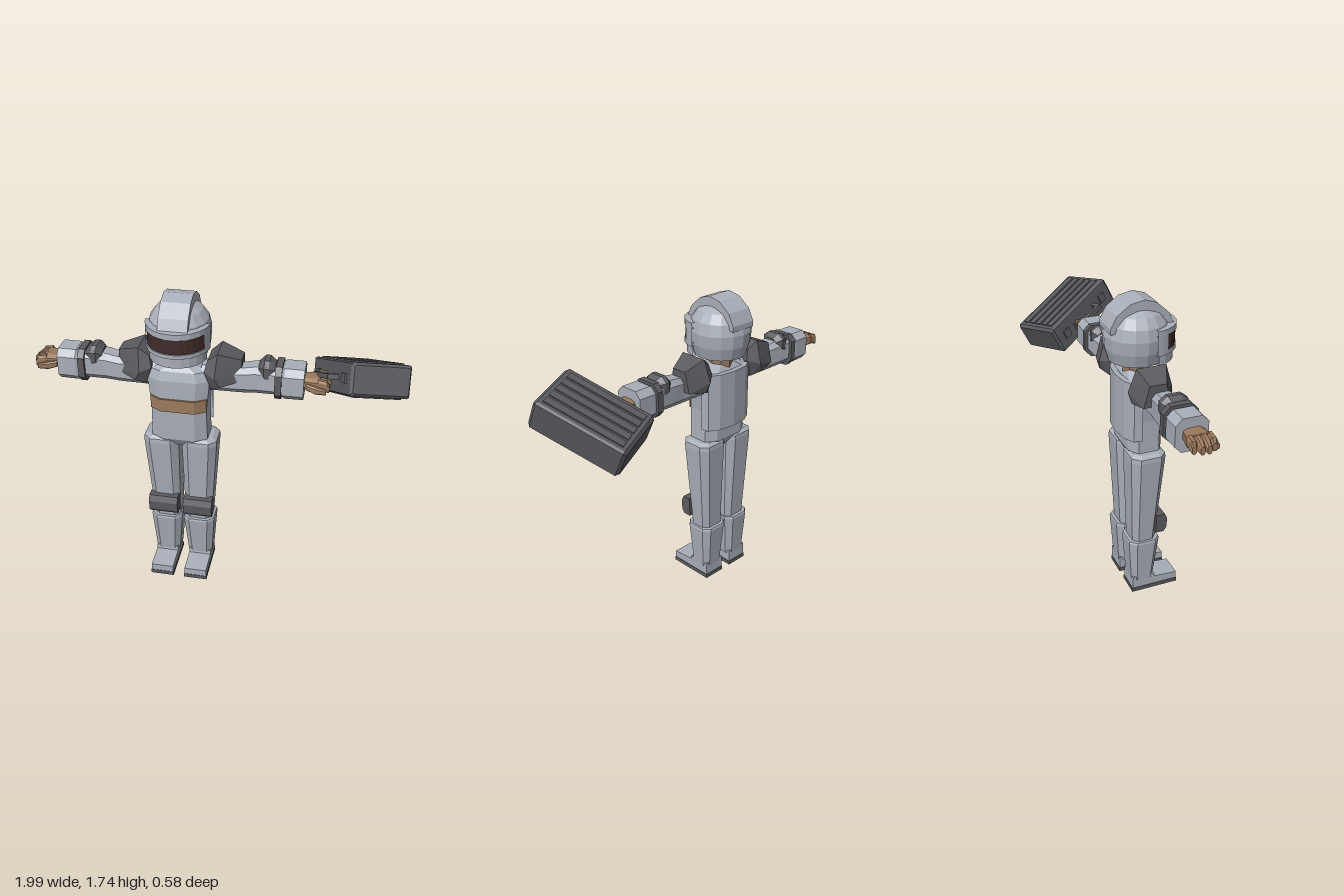
import * as THREE from 'three';
import { ConvexGeometry } from 'three/addons/geometries/ConvexGeometry.js';

const paint = (name, hex) => {
  const m = new THREE.MeshStandardMaterial({ color: hex, flatShading: true, side: THREE.DoubleSide });
  m.name = name;
  return m;
};

// Chamfered eight-sided loft along y; sections are [y, cx, cz, rx, rz], bottom to top
function loft(sections, k = 0.6) {
  const rings = sections.map(([y, cx, cz, a, b]) =>
    [[-a * k, b], [a * k, b], [a, b * k], [a, -b * k], [a * k, -b], [-a * k, -b], [-a, -b * k], [-a, b * k]]
      .map(([x, z]) => [cx + x, y, cz + z]));
  const pos = [];
  const tri = (...p) => p.forEach(v => pos.push(...v));
  for (let r = 0; r < rings.length - 1; r++) {
    for (let i = 0; i < 8; i++) {
      const j = (i + 1) % 8, lo = rings[r], hi = rings[r + 1];
      tri(lo[i], lo[j], hi[j]);
      tri(lo[i], hi[j], hi[i]);
    }
  }
  const lo = rings[0], hi = rings[rings.length - 1];
  for (let i = 1; i < 7; i++) {
    tri(lo[0], lo[i + 1], lo[i]);
    tri(hi[0], hi[i], hi[i + 1]);
  }
  const g = new THREE.BufferGeometry();
  g.setAttribute('position', new THREE.Float32BufferAttribute(pos, 3));
  g.computeVertexNormals();
  return g;
}

// Loft along x; sections are [x, yMin, yMax, zMin, zMax]
const limb = (sections, k) => loft(sections.map(([x, y0, y1, z0, z1]) =>
  [x, -(y0 + y1) / 2, (z0 + z1) / 2, (y1 - y0) / 2, (z1 - z0) / 2]), k).rotateZ(-Math.PI / 2);

const extrude = (pts, depth) => new THREE.ExtrudeGeometry(
  new THREE.Shape(pts.map(p => new THREE.Vector2(...p))), { depth, bevelEnabled: false });

// Side profile [z, y] given a width around x = cx
const profile = (pts, width, cx) => extrude(pts, width).rotateY(-Math.PI / 2).translate(cx + width / 2, 0, 0);

// Plan outline [x, z] raised from y0 to y1
const plan = (pts, y0, y1) => extrude(pts.map(([x, z]) => [x, -z]), y1 - y0)
  .rotateX(-Math.PI / 2).translate(0, y0, 0);

// Mirror across x and restore the corner order
function mirror(geo) {
  const g = geo.index ? geo.toNonIndexed() : geo.clone();
  g.scale(-1, 1, 1);
  const p = g.attributes.position;
  for (let i = 0; i < p.count; i += 3) {
    const a = new THREE.Vector3().fromBufferAttribute(p, i + 1);
    const b = new THREE.Vector3().fromBufferAttribute(p, i + 2);
    p.setXYZ(i + 1, b.x, b.y, b.z);
    p.setXYZ(i + 2, a.x, a.y, a.z);
  }
  g.computeVertexNormals();
  return g;
}

export function createModel() {
  const armour = paint('paleArmour', 0xa9afb9);
  const dark = paint('darkPadding', 0x5b5a5f);
  const tan = paint('tan', 0x9c7a5c);
  const glass = paint('visorBrown', 0x402c2a);

  const model = new THREE.Group();
  model.name = 'armouredFigure';
  const body = new THREE.Group();
  body.name = 'body';
  body.position.x = -0.195;
  model.add(body);

  const add = (name, geo, mat, parent = body) => {
    const m = new THREE.Mesh(geo, mat);
    m.name = name;
    parent.add(m);
    return m;
  };
  const pair = (name, geo, mat) => {
    add('left' + name, geo, mat);
    add('right' + name, mirror(geo), mat);
  };

  // Torso, chest band and back plate
  add('torso', loft([
    [0.86, 0, 0.07, 0.03, 0.06], [0.92, 0, 0.073, 0.155, 0.096], [1.1, 0, 0.075, 0.15, 0.095],
    [1.28, 0, 0.068, 0.168, 0.095], [1.33, 0, 0.062, 0.155, 0.085], [1.362, 0, 0.06, 0.075, 0.06],
  ]), armour);
  add('chestBand', plan([[-0.152, 0.134], [-0.092, 0.168], [0.092, 0.168], [0.152, 0.134],
    [0.152, 0.142], [0.093, 0.178], [-0.093, 0.178], [-0.152, 0.142]], 1.1, 1.175), tan);
  add('backPlate', plan([[-0.168, 0.03], [-0.16, -0.015], [-0.1, -0.048], [0, -0.06], [0.1, -0.048], [0.16, -0.015],
    [0.168, 0.03], [0.145, 0.02], [0.09, -0.02], [0, -0.03], [-0.09, -0.02], [-0.145, 0.02]], 1.0, 1.33), armour);
  add('neck', new THREE.CylinderGeometry(0.068, 0.068, 0.11, 8).translate(0, 1.385, 0.05), tan);

  // Helmet shell and crest
  const shell = [[0, 1.41], [0.142, 1.41], [0.163, 1.48], [0.169, 1.55], [0.155, 1.612], [0.122, 1.66], [0.07, 1.692], [0, 1.705]];
  add('helmet', new THREE.LatheGeometry(shell.map(p => new THREE.Vector2(...p)), 16)
    .scale(1, 1, 1.03).translate(0, 0, 0.055), armour);
  add('helmetCrest', profile([[0.228, 1.6], [0.2, 1.658], [0.135, 1.718], [0.065, 1.74], [-0.01, 1.725], [-0.08, 1.674],
    [-0.113, 1.61], [-0.113, 1.58], [-0.05, 1.59], [0.05, 1.65], [0.15, 1.59]], 0.155, 0), armour);

  // Visor with its wrap-around frame
  const band = (name, r0, r1, y0, y1, from, to, mat) => add(name, new THREE.LatheGeometry(
    [[r1, y0], [r1, y1], [r0, y1], [r0, y0], [r1, y0]].map(p => new THREE.Vector2(...p)),
    10, from, to - from).scale(1, 1, 1.03).translate(0, 0, 0.09), mat);
  band('visorFrameTop', 0.12, 0.169, 1.572, 1.603, -1.5, 1.5, armour);
  band('visor', 0.12, 0.163, 1.488, 1.574, -1.15, 1.15, glass);
  band('visorFrameBottom', 0.12, 0.169, 1.468, 1.49, -1.5, 1.5, armour);
  band('chinGuard', 0.1, 0.155, 1.41, 1.47, -1.4, 1.4, armour);
  band('visorFrameLeft', 0.13, 0.169, 1.468, 1.603, 1.1, 1.5, armour);
  band('visorFrameRight', 0.13, 0.169, 1.468, 1.603, -1.5, -1.1, armour);

  // Legs
  pair('Thigh', loft([[0.33, 0.092, 0.06, 0.076, 0.066], [0.88, 0.107, 0.068, 0.098, 0.098],
    [0.905, 0.107, 0.068, 0.096, 0.096], [0.92, 0.105, 0.068, 0.075, 0.075]]), armour);
  pair('Shin', loft([[0.08, 0.098, 0.056, 0.071, 0.066], [0.34, 0.096, 0.06, 0.091, 0.09],
    [0.352, 0.096, 0.06, 0.087, 0.086]]), armour);
  pair('KneePad', profile([[0.115, 0.4], [0.163, 0.4], [0.18, 0.425], [0.183, 0.48], [0.168, 0.515], [0.12, 0.515]],
    0.167, 0.1), dark);
  pair('Boot', profile([[-0.01, 0.022], [0.263, 0.022], [0.263, 0.066], [0.125, 0.075], [0.12, 0.1], [-0.008, 0.1]],
    0.13, 0.1), armour);
  pair('Sole', new THREE.BoxGeometry(0.136, 0.024, 0.278).translate(0.1, 0.012, 0.126), dark);

  // Arms with pads, ring and cuff
  pair('Arm', limb([[0.12, 1.215, 1.36, 0, 0.12], [0.33, 1.215, 1.36, 0, 0.115],
    [0.4, 1.22, 1.372, -0.01, 0.115], [0.53, 1.226, 1.386, -0.022, 0.13]]), armour);
  pair('ArmRing', limb([[0.51, 1.207, 1.395, -0.037, 0.145], [0.545, 1.207, 1.395, -0.037, 0.145]]), dark);
  pair('Cuff', limb([[0.545, 1.218, 1.378, -0.022, 0.132], [0.56, 1.21, 1.388, -0.03, 0.14],
    [0.66, 1.212, 1.388, -0.03, 0.14]]), armour);
  pair('ElbowPad', limb([[0.42, 1.32, 1.385, 0.005, 0.1], [0.45, 1.305, 1.412, -0.02, 0.125],
    [0.475, 1.292, 1.412, -0.02, 0.125], [0.507, 1.325, 1.39, 0, 0.11]], 0.5), dark);
  const pad = [];
  for (const [x, y, z0, z1] of [[0.33, 1.4, -0.01, 0.08], [0.33, 1.285, -0.04, 0.105], [0.21, 1.445, -0.03, 0.13],
    [0.2, 1.32, -0.07, 0.17], [0.225, 1.268, -0.06, 0.16], [0.14, 1.34, -0.02, 0.14], [0.155, 1.4, -0.01, 0.12],
    [0.175, 1.24, -0.02, 0.13]]) {
    pad.push(new THREE.Vector3(x, y, z0), new THREE.Vector3(x, y, z1));
  }
  pair('ShoulderPad', new ConvexGeometry(pad), dark);

  // Hands: palm, four fingers and thumb
  pair('Palm', limb([[0.65, 1.275, 1.335, 0.01, 0.11], [0.74, 1.272, 1.342, -0.008, 0.122]]), tan);
  for (let i = 0; i < 4; i++) {
    const z = -0.01 + i * 0.033, tip = [0.785, 0.803, 0.805, 0.79][i];
    pair('Finger' + (i + 1), limb([[0.73, 1.29, 1.342, z, z + 0.032], [0.775, 1.275, 1.335, z, z + 0.032],
      [tip, 1.272, 1.312, z + 0.005, z + 0.027]]), tan);
  }
  pair('Thumb', limb([[0.67, 1.28, 1.315, 0.085, 0.125], [0.72, 1.27, 1.31, 0.108, 0.142],
    [0.775, 1.268, 1.295, 0.112, 0.138]]), tan);

  // Carried case: local x is its width, y its thickness, z its length
  const box = new THREE.Group();
  box.name = 'carryCase';
  const length = new THREE.Vector3(0.21, 0.205, 0.41).normalize();
  const thick = length.clone().cross(new THREE.Vector3(0.29, -0.06, -0.13)).normalize();
  const width = thick.clone().cross(length);
  box.quaternion.setFromRotationMatrix(new THREE.Matrix4().makeBasis(width, thick, length));
  box.position.set(0.745, 1.32, 0);
  model.add(box);
  add('caseBody', loft([[-0.25, 0, 0, 0.15, 0.07], [-0.235, 0, 0, 0.162, 0.084], [0.235, 0, 0, 0.162, 0.084],
    [0.25, 0, 0, 0.15, 0.07]], 0.92).rotateX(Math.PI / 2), dark, box);
  const slab = (name, sx, sy, sz, x, y, z) => add(name, new THREE.BoxGeometry(sx, sy, sz).translate(x, y, z), dark, box);
  for (const s of [-1, 1]) {
    for (let i = 0; i < 5; i++) slab('caseRidge', 0.04, 0.012, 0.43, (i - 2) * 0.055, s * 0.085, 0);
    slab('caseHandleBracket', 0.06, 0.028, 0.022, -0.188, 0, s * 0.085);
    slab('caseLatch', 0.016, 0.05, 0.045, -0.164, 0, s * 0.165);
  }
  slab('caseHandle', 0.022, 0.026, 0.19, -0.212, 0, 0);

  return model;
}
